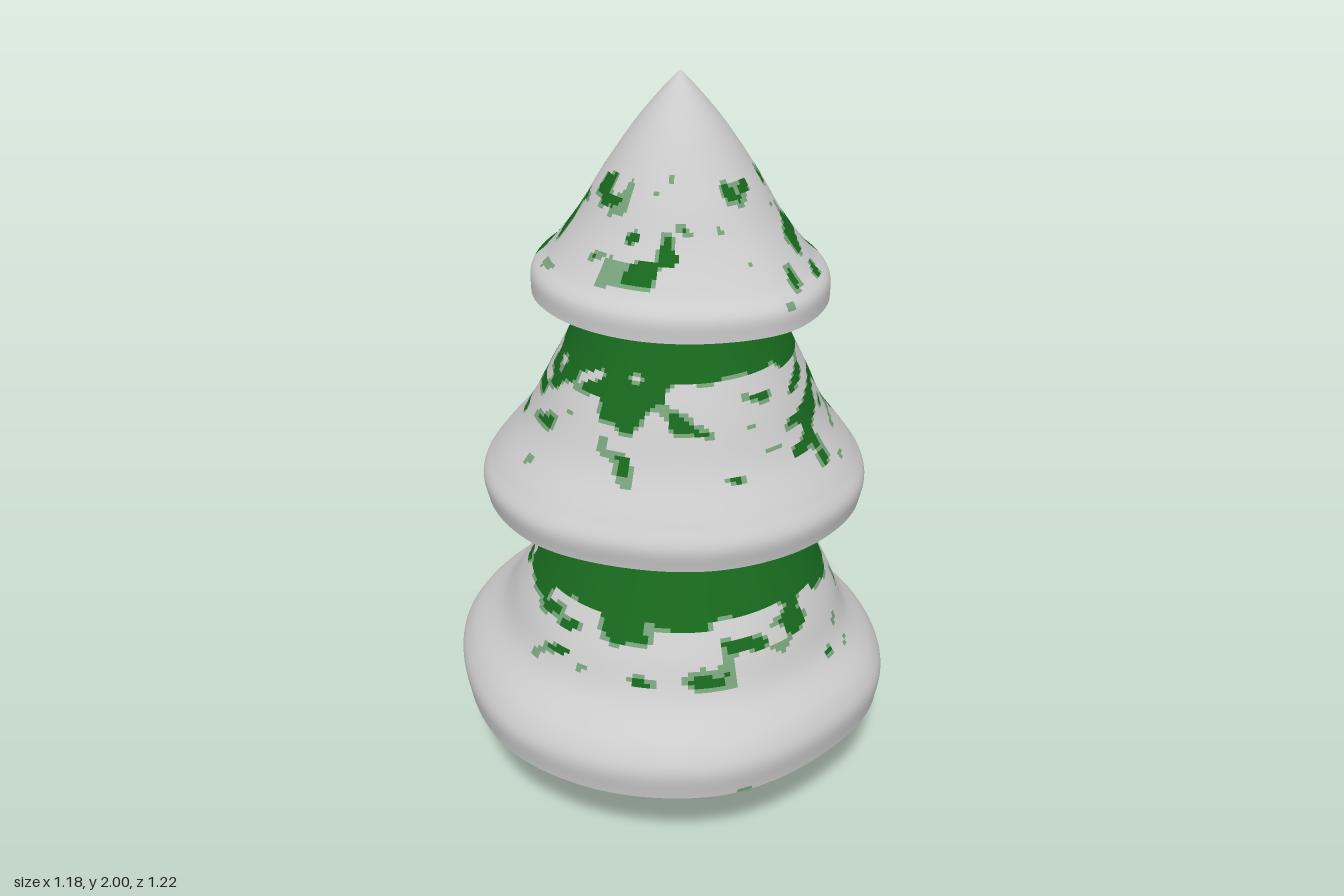
import * as THREE from 'three';

const { lerp, smoothstep } = THREE.MathUtils;
const CX = 0.015, CZ = 0.04; // trunk axis
const AROUND = 180;

const GREEN = new THREE.MeshStandardMaterial({ color: 0x17671d });
const FROSTED = new THREE.MeshStandardMaterial({ color: 0x76a079 });
const SNOW = new THREE.MeshStandardMaterial({ color: 0xcccccc });
const BARK = new THREE.MeshStandardMaterial({ color: 0x4a3113 });

// rim: radius every 30 degrees, from +x round by the back;
// profile: [radius, height] from rim to top; bias: [height, amount of green]
const LOWER = {
  name: 'lowerBranches', seed: 3,
  rim: [.57, .605, .615, .653, .63, .602, .605, .597, .591, .568, .58, .565],
  profile: [[.59, .268], [.6, .35], [.575, .4], [.485, .49], [.435, .585], [.38, .68], [.3, .82], [.262, .885]],
  bias: [[.45, -.3], [.56, -.1], [.66, .1], [.7, 1]],
};
const MIDDLE = {
  name: 'middleBranches', seed: 11,
  rim: [.505, .513, .497, .516, .514, .52, .505, .475, .477, .485, .498, .493],
  profile: [[.495, .88], [.505, .945], [.475, .995], [.395, 1.1], [.335, 1.22], [.275, 1.34], [.222, 1.455]],
  bias: [[1, -.28], [1.1, -.08], [1.28, .02], [1.36, 1]],
};
const TOP = {
  name: 'topBranches', seed: 23,
  rim: [.363, .38, .38, .387, .377, .374, .363, .36, .368, .393, .387, .368],
  profile: [[.368, 1.448], [.365, 1.505], [.325, 1.545], [.255, 1.64], [.195, 1.745], [.105, 1.88], [.03, 1.97], [.001, 2]],
  bias: [[1.45, -.5], [1.52, -.1], [1.6, 0], [1.75, -.02], [1.85, -.35]],
};
const UNDERSIDE_BIAS = [[0, 1], [.3, .5], [.45, 0], [.65, -.5]];

function hash(x, y, seed) {
  const s = Math.sin(x * 127.1 + y * 311.7 + seed * 74.7) * 43758.5453;
  return s - Math.floor(s);
}

// value noise that wraps around the tree
function noise(u, v, cells, seed) {
  const x = u * cells, i = Math.floor(x), j = Math.floor(v);
  const fx = smoothstep(x - i, 0, 1), fy = smoothstep(v - j, 0, 1);
  const at = (a, b) => hash(a % cells, b, seed);
  return lerp(lerp(at(i, j), at(i + 1, j), fx), lerp(at(i, j + 1), at(i + 1, j + 1), fx), fy);
}

// linear interpolation through [position, value] keys
function keyed(keys, t) {
  if (t <= keys[0][0]) return keys[0][1];
  for (let k = 1; k < keys.length; k++) {
    const [a, va] = keys[k - 1], [b, vb] = keys[k];
    if (t <= b) return va + (vb - va) * (t - a) / (b - a);
  }
  return keys[keys.length - 1][1];
}

const coat = amount => amount > 0.62 ? 'Green' : amount > 0.56 ? 'Frosted' : 'Snow';

// Smooth surface of closed rings, split into meshes by the coating of each patch
function coatedSurface(name, rings, point, green) {
  const pos = [], all = [];
  const parts = { Green: [], Frosted: [], Snow: [] };
  for (let j = 0; j <= rings; j++) {
    for (let i = 0; i < AROUND; i++) pos.push(...point(i, j));
  }
  for (let j = 0; j < rings; j++) {
    for (let i = 0; i < AROUND; i++) {
      const a = j * AROUND + i, b = j * AROUND + (i + 1) % AROUND;
      const quad = [a, b, b + AROUND, a, b + AROUND, a + AROUND];
      all.push(...quad);
      parts[coat(green((i + 0.5) / AROUND, j))].push(...quad);
    }
  }
  const whole = new THREE.BufferGeometry();
  whole.setAttribute('position', new THREE.Float32BufferAttribute(pos, 3));
  whole.setIndex(all);
  whole.computeVertexNormals();

  const group = new THREE.Group();
  group.name = name;
  const materials = { Green: GREEN, Frosted: FROSTED, Snow: SNOW };
  for (const [kind, index] of Object.entries(parts)) {
    if (!index.length) continue;
    const g = new THREE.BufferGeometry();
    g.setAttribute('position', whole.attributes.position);
    g.setAttribute('normal', whole.attributes.normal);
    g.setIndex(index);
    const mesh = new THREE.Mesh(g, materials[kind]);
    mesh.name = name + kind;
    group.add(mesh);
  }
  return group;
}

function makeTier({ name, seed, rim, profile, bias }) {
  const outline = new THREE.CatmullRomCurve3(rim.map((r, k) => {
    const a = k * Math.PI * 2 / rim.length;
    return new THREE.Vector3(r * Math.cos(a), 0, -r * Math.sin(a));
  }), true).getSpacedPoints(AROUND);
  const rimR = Math.max(...profile.map(p => p[0]));
  const [baseR, baseY] = profile[0];
  const topY = profile[profile.length - 1][1];

  // wavy at the rim, rounder towards the top
  const place = (i, r, y, round) => {
    const p = outline[i];
    const k = lerp(r / rimR, r / p.length(), round);
    return [CX + p.x * k, y, CZ + p.z * k];
  };

  const tier = new THREE.Group();
  tier.name = name;

  // sloping boughs
  const rings = 64;
  const side = new THREE.CatmullRomCurve3(profile.map(([r, y]) => new THREE.Vector3(r, y, 0))).getSpacedPoints(rings);
  tier.add(coatedSurface(name + 'Slope', rings, (i, j) => {
    const { x, y } = side[j];
    return place(i, x, y, smoothstep((y - baseY) / (topY - baseY), 0.1, 0.8));
  }, (u, j) => {
    const y = side[j].y;
    return 0.65 * noise(u, y * 32 + Math.sin(u * Math.PI * 6), 36, seed)
      + 0.35 * noise(u, y * 12, 12, seed + 1) + keyed(bias, y);
  }));

  // flat underside
  const inner = 0.2, steps = 14;
  tier.add(coatedSurface(name + 'Underside', steps,
    (i, j) => place(i, lerp(inner, baseR, j / steps), baseY, 1 - j / steps),
    (u, j) => noise(u, j * 0.2, 60, seed + 2) + keyed(UNDERSIDE_BIAS, j / steps)));
  return tier;
}

export function createModel() {
  const tree = new THREE.Group();
  tree.name = 'snowyTree';

  const trunk = new THREE.Mesh(new THREE.CylinderGeometry(0.255, 0.255, 0.3, 48), BARK);
  trunk.name = 'trunk';
  trunk.position.set(CX, 0.15, CZ);
  tree.add(trunk);

  tree.add(makeTier(LOWER), makeTier(MIDDLE), makeTier(TOP));
  return tree;
}
